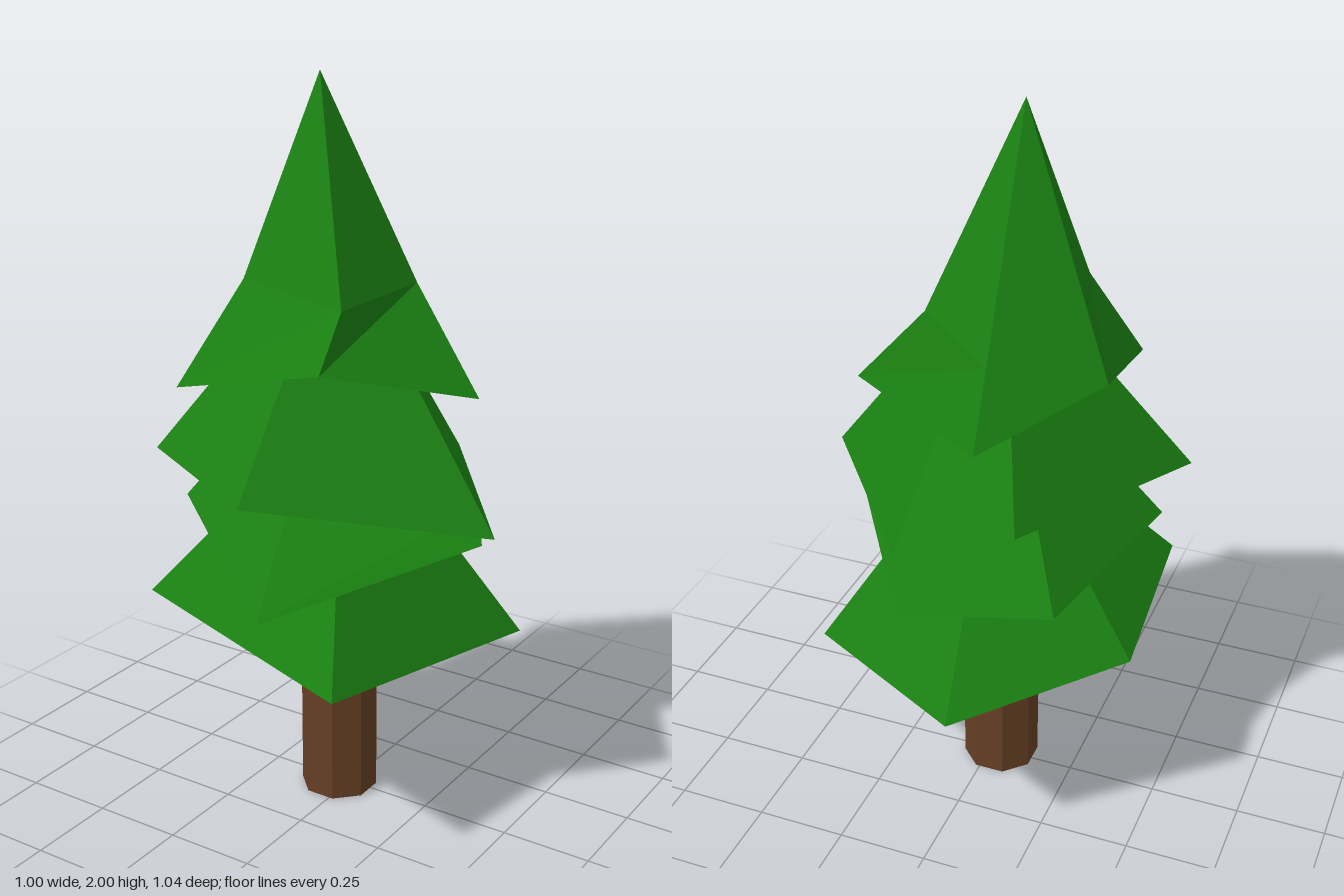
import * as THREE from 'three';

const green = new THREE.MeshStandardMaterial({ color: 0x1a8012, flatShading: true });
const brown = new THREE.MeshStandardMaterial({ color: 0x653f24, flatShading: true });

// Tiers from bottom to top: apex, five rim corners (left, front, right, back),
// and shoulder points that bend the ridge of a corner.
const tiers = [
  {
    name: 'lowestBranches',
    apex: [-0.02, 1.15, 0],
    rim: [[-0.47, 0.59, -0.2], [-0.43, 0.62, 0.33], [0.27, 0.55, 0.5], [0.4, 0.48, -0.25], [-0.08, 0.5, -0.52]],
  },
  {
    name: 'lowerBranches',
    apex: [-0.04, 1.35, 0],
    rim: [[-0.44, 0.84, 0.15], [0.04, 0.7, 0.49], [0.475, 0.885, 0.13], [0.1, 0.73, -0.41], [-0.325, 0.82, -0.4]],
    shoulders: { 2: [0.44, 0.97, 0.09] },
  },
  {
    name: 'upperBranches',
    apex: [-0.04, 1.6, 0],
    rim: [[-0.5, 0.98, 0.2], [0.01, 1.01, 0.52], [0.5, 0.9, 0.11], [0.1, 0.92, -0.42], [-0.22, 1.03, -0.4]],
  },
  {
    name: 'treeTop',
    apex: [-0.09, 2, 0],
    rim: [[-0.36, 1.35, -0.13], [-0.31, 1.22, 0.34], [0.13, 1.32, 0.34], [0.36, 1.2, -0.05], [-0.1, 1.22, -0.37]],
    shoulders: { 1: [-0.2, 1.49, 0.19], 2: [0.13, 1.46, 0.24], 3: [0.13, 1.46, -0.12] },
  },
];

// Irregular pyramid: rim, shoulder ring, apex and a closed underside
function tierGeometry({ apex, rim, shoulders = {} }) {
  const top = new THREE.Vector3(...apex);
  const low = rim.map((p) => new THREE.Vector3(...p));
  const mid = low.map((p, i) => (shoulders[i] ? new THREE.Vector3(...shoulders[i]) : p.clone().lerp(top, 0.25)));
  const centre = low.reduce((sum, p) => sum.add(p), new THREE.Vector3()).divideScalar(low.length);
  const points = [];
  low.forEach((p, i) => {
    const j = (i + 1) % low.length;
    points.push(p, low[j], mid[j], p, mid[j], mid[i]);
    points.push(mid[i], mid[j], top);
    points.push(low[j], p, centre);
  });
  const geometry = new THREE.BufferGeometry().setFromPoints(points);
  geometry.computeVertexNormals();
  return geometry;
}

export function createModel() {
  const tree = new THREE.Group();
  tree.name = 'pineTree';

  for (const tier of tiers) {
    const mesh = new THREE.Mesh(tierGeometry(tier), green);
    mesh.name = tier.name;
    tree.add(mesh);
  }

  // Eight-sided trunk with a green underside
  const height = 0.75;
  const trunk = new THREE.Mesh(new THREE.CylinderGeometry(0.107, 0.107, height, 8), [brown, brown, green]);
  trunk.name = 'trunk';
  trunk.rotation.y = Math.PI / 8;
  trunk.position.set(-0.03, height / 2, 0.01);
  tree.add(trunk);

  return tree;
}
